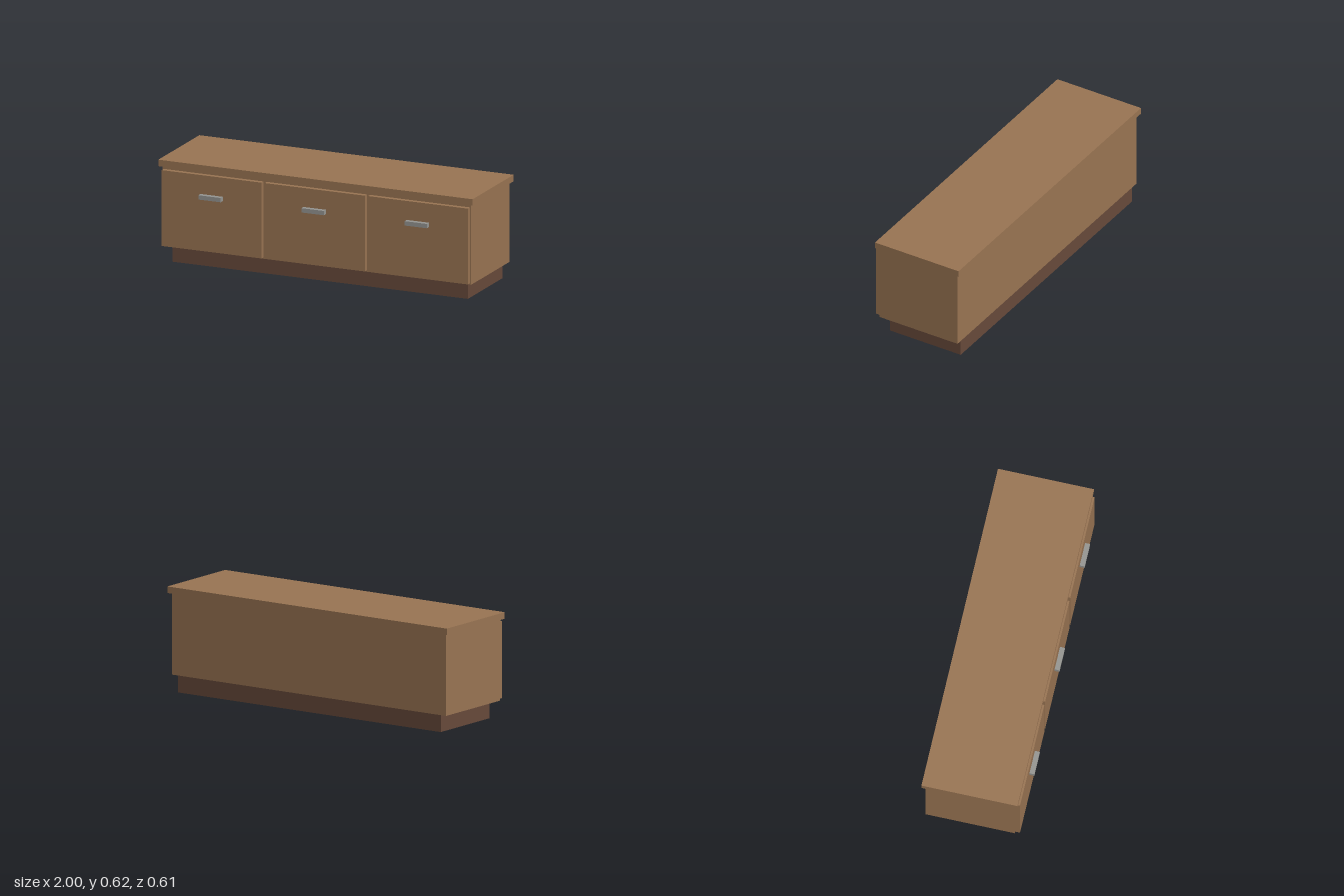
import * as THREE from 'three';

export function createModel() {
  const model = new THREE.Group();
  model.name = 'lowCabinet';

  const material = (name, color) => {
    const m = new THREE.MeshStandardMaterial({ color });
    m.name = name;
    return m;
  };
  const wood = material('warm wood', 0x9a7553);
  const darkWood = material('dark wood', 0x684a3b);
  const metal = material('grey metal', 0x969692);

  // Box given by its extents along each axis
  const box = (name, mat, [x0, x1], [y0, y1], [z0, z1], parent = model) => {
    const mesh = new THREE.Mesh(new THREE.BoxGeometry(x1 - x0, y1 - y0, z1 - z0), mat);
    mesh.position.set((x0 + x1) / 2, (y0 + y1) / 2, (z0 + z1) / 2);
    mesh.name = name;
    parent.add(mesh);
  };

  // Recessed base, carcass and overhanging top
  box('plinth', darkWood, [-0.94, 0.94], [0, 0.101], [-0.281, 0.2]);
  box('carcass', wood, [-0.981, 0.981], [0.101, 0.584], [-0.285, 0.246]);
  box('top', wood, [-1, 1], [0.584, 0.623], [-0.304, 0.265]);

  // Three drawers, each a front panel with a bar handle
  ['rightDrawer', 'middleDrawer', 'leftDrawer'].forEach((name, i) => {
    const drawer = new THREE.Group();
    drawer.name = name;
    drawer.position.x = (i - 1) * 0.656;
    box('drawerFront', wood, [-0.318, 0.318], [0.11, 0.566], [0.246, 0.275], drawer);
    box('handle', metal, [-0.071, 0.071], [0.426, 0.452], [0.275, 0.304], drawer);
    model.add(drawer);
  });

  return model;
}
